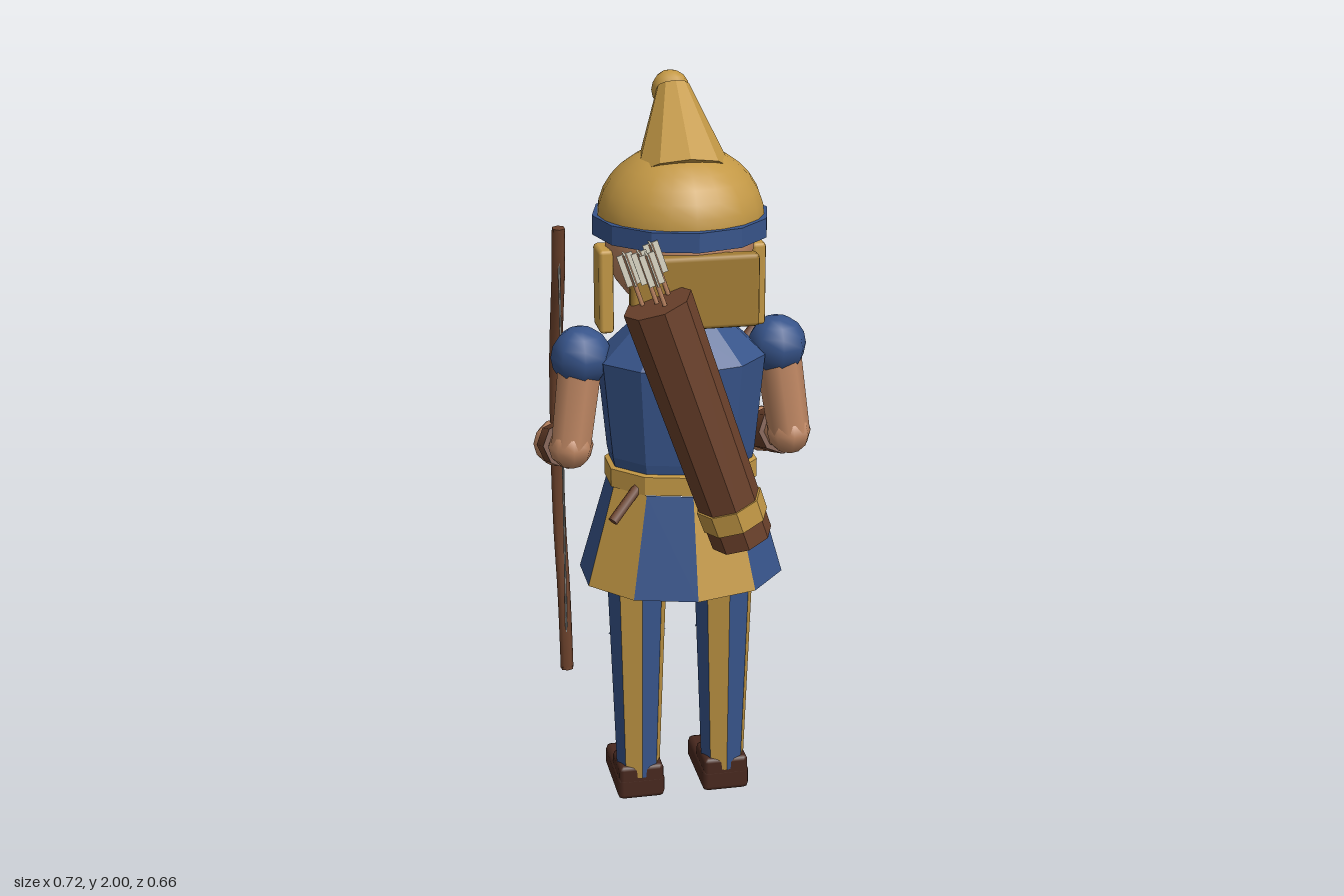
import * as THREE from 'three';
import { RoundedBoxGeometry } from 'three/addons/geometries/RoundedBoxGeometry.js';

const palette = {
  blue: 0x37548a, gold: 0xc39845, hair: 0xa27c34, skin: 0xbf8763, leather: 0x6b412b,
  shoeBrown: 0x48281e, fletchWhite: 0xe2decb, stringGrey: 0x8f908c,
};
const V = (x, y, z) => new THREE.Vector3(x, y, z);

export function createModel() {
  const mats = {};
  for (const [name, color] of Object.entries(palette)) {
    mats[name] = new THREE.MeshStandardMaterial({ color });
    mats[name].name = name;
  }
  mats.fletchWhite.side = THREE.DoubleSide;
  const root = new THREE.Group();
  root.name = 'archer';

  const add = (name, geo, mat, x = 0, y = 0, z = 0, parent = root) => {
    const m = new THREE.Mesh(geo, mats[mat]);
    m.name = name;
    m.position.set(x, y, z);
    parent.add(m);
    return m;
  };
  const flat = (geo) => {
    const g = geo.index ? geo.toNonIndexed() : geo;
    g.computeVertexNormals();
    return g;
  };
  // Tapered rod from a to b
  const rod = (name, a, b, ra, rb, sides, mat) => {
    const d = b.clone().sub(a);
    const m = add(name, new THREE.CylinderGeometry(rb, ra, d.length(), sides), mat);
    m.position.copy(a).addScaledVector(d, 0.5);
    m.quaternion.setFromUnitVectors(V(0, 1, 0), d.normalize());
    return m;
  };
  // Faceted lathe, profile given as [radius, y] from bottom to top
  const lathe = (pts, sides, start = 0, length = Math.PI * 2) =>
    flat(new THREE.LatheGeometry(pts.map((p) => new THREE.Vector2(...p)), sides, start, length));
  // One coloured face per letter of the pattern
  const panels = (name, pts, pattern, x, depth) => {
    const group = new THREE.Group();
    group.name = name;
    const step = (Math.PI * 2) / pattern.length;
    [...pattern].forEach((c, i) => {
      const m = add(name + 'Panel', lathe(pts, 1, i * step, step), c === 'B' ? 'blue' : 'gold', x, 0, 0, group);
      m.scale.z = depth;
    });
    root.add(group);
  };

  // Tunic, belt and panelled skirt
  const tunic = add('tunic', lathe([[0.185, 0.95], [0.2, 1.02], [0.226, 1.28], [0.125, 1.375], [0, 1.38]], 10), 'blue');
  tunic.scale.z = 0.79;
  const belt = add('belt', lathe([[0.19, 0.935], [0.207, 0.94], [0.207, 0.99], [0.19, 0.995]], 10), 'gold');
  belt.scale.z = 0.8;
  panels('skirt', [[0.278, 0.67], [0.2, 0.94]], 'GBGBBBGBGB', 0, 0.85);
  const hem = add('skirtUnderside', lathe([[0, 0.67], [0.278, 0.67]], 10), 'blue');
  hem.scale.z = 0.85;

  // Strap running through the body from hip to shoulder
  rod('strap', V(-0.21, 0.88, 0.15), V(0.23, 1.31, -0.12), 0.014, 0.014, 6, 'leather');

  for (const s of [-1, 1]) {
    // Legs with stripes, knee bands and shoes
    panels('leg', [[0.06, 0.07], [0.084, 0.72]], 'BGBGGBBG', s * 0.12, 1);
    add('kneeBand', lathe([[0.073, 0.47], [0.079, 0.472], [0.08, 0.49], [0.074, 0.492]], 4, Math.PI / 2, Math.PI),
      'blue', s * 0.12, 0, 0);
    add('shoe', new RoundedBoxGeometry(0.132, 0.07, 0.225, 1, 0.015), 'shoeBrown', s * 0.12, 0.038, -0.057);
    add('shoeCuff', new RoundedBoxGeometry(0.125, 0.06, 0.12, 1, 0.012), 'shoeBrown', s * 0.12, 0.074, -0.005);

    // Arms bent forward at the elbow
    const shoulder = V(s * 0.262, 1.285, -0.01);
    const elbow = V(s * 0.295, 1.045, 0.008);
    const hand = V(s * 0.293, 0.957, -0.27);
    add('shoulder', new THREE.SphereGeometry(0.08, 8, 8), 'blue', ...shoulder);
    rod('upperArm', shoulder, elbow, 0.062, 0.056, 8, 'skin');
    add('elbow', new THREE.SphereGeometry(0.06, 8, 6), 'skin', ...elbow);
    rod('forearm', elbow, hand, 0.052, 0.045, 8, 'skin');
    rod('bracer', elbow.clone().lerp(hand, 0.27), elbow.clone().lerp(hand, 0.77), 0.064, 0.064, 8, 'leather');
    add('hand', new THREE.SphereGeometry(0.065, 8, 6), 'skin', ...hand);

    // Side hair and eyebrows
    add('sideHair', new RoundedBoxGeometry(0.038, 0.22, 0.1, 1, 0.01), 'gold', s * 0.2, 1.465, -0.01);
    const brow = add('eyebrow', new THREE.BoxGeometry(0.045, 0.02, 0.014), 'shoeBrown', s * 0.08, 1.68, -0.202);
    brow.rotation.y = s * 0.2;
  }

  // Neck, head, nose and back hair
  add('neck', new THREE.CylinderGeometry(0.06, 0.065, 0.12, 8), 'skin', 0, 1.39, -0.01);
  add('head', new THREE.SphereGeometry(0.195, 16, 12), 'skin', 0, 1.585, -0.012);
  add('nose', new RoundedBoxGeometry(0.042, 0.045, 0.06, 1, 0.01), 'skin', 0, 1.58, -0.215);
  add('backHair', new RoundedBoxGeometry(0.33, 0.19, 0.048, 1, 0.012), 'hair', 0, 1.495, 0.176);

  // Hat: band, dome, bent peak and pompom
  const band = add('hatBand', lathe([[0.19, 1.61], [0.24, 1.61], [0.24, 1.66], [0.19, 1.66]], 12), 'blue', 0, 0, -0.003);
  band.scale.x = 0.955;
  const dome = add('hatDome', new THREE.SphereGeometry(0.216, 20, 8, 0, Math.PI * 2, 0, Math.PI / 2), 'gold', 0, 1.65, 0);
  dome.scale.y = 0.86;
  const peakBase = V(0, 1.76, 0.02);
  const peakTip = V(0, 1.965, -0.095);
  const peak = rod('hatPeak', peakBase, peakTip, 0.127, 0.042, 10, 'gold');
  peak.geometry = flat(peak.geometry);
  add('pompom', new THREE.SphereGeometry(0.05, 10, 8), 'gold', 0, 1.95, -0.13);

  // Bow and string
  const bowCurve = new THREE.CatmullRomCurve3([
    [0.325, -0.158], [0.44, -0.172], [0.56, -0.195], [0.7, -0.242], [0.85, -0.265], [0.957, -0.27],
    [1.06, -0.268], [1.21, -0.255], [1.35, -0.215], [1.47, -0.175], [1.588, -0.158],
  ].map(([y, z]) => V(-0.293, y, z)));
  add('bow', new THREE.TubeGeometry(bowCurve, 20, 0.018, 6), 'leather');
  for (const t of [0, 1]) {
    const p = bowCurve.getPoint(t);
    const cap = add('bowTip', new THREE.CylinderGeometry(0.018, 0.018, 0.008, 6), 'leather', ...p);
    cap.rotation.x = t ? 0.12 : -0.12;
  }
  rod('bowString', V(-0.293, 0.36, -0.158), V(-0.293, 1.55, -0.158), 0.003, 0.003, 4, 'stringGrey');

  // Quiver with a gold band and four arrows
  const quiver = new THREE.Group();
  quiver.name = 'quiver';
  const bottom = V(0.12, 0.835, 0.215);
  const top = V(-0.107, 1.49, 0.24);
  const axis = top.clone().sub(bottom);
  const len = axis.length();
  quiver.position.copy(bottom).addScaledVector(axis, 0.5);
  quiver.quaternion.setFromUnitVectors(V(0, 1, 0), axis.clone().normalize());
  root.add(quiver);
  add('quiverBody', flat(new THREE.CylinderGeometry(0.09, 0.082, len, 8)), 'leather', 0, 0, 0, quiver);
  add('quiverBand', flat(new THREE.CylinderGeometry(0.089, 0.088, 0.06, 8)), 'gold', 0, -len / 2 + 0.085, 0, quiver);
  for (const [x, z] of [[-0.035, -0.025], [-0.002, 0], [0.035, -0.03], [0.012, 0.035]]) {
    const arrow = new THREE.Group();
    arrow.name = 'arrow';
    arrow.position.set(x, len / 2, z);
    quiver.add(arrow);
    add('arrowShaft', new THREE.CylinderGeometry(0.006, 0.006, 0.16, 5), 'skin', 0, 0.06, 0, arrow);
    for (const turn of [0, Math.PI / 2]) {
      const f = add('fletching', new THREE.BoxGeometry(0.04, 0.085, 0.004), 'fletchWhite', 0, 0.1, 0, arrow);
      f.rotation.y = turn;
    }
  }
  return root;
}
